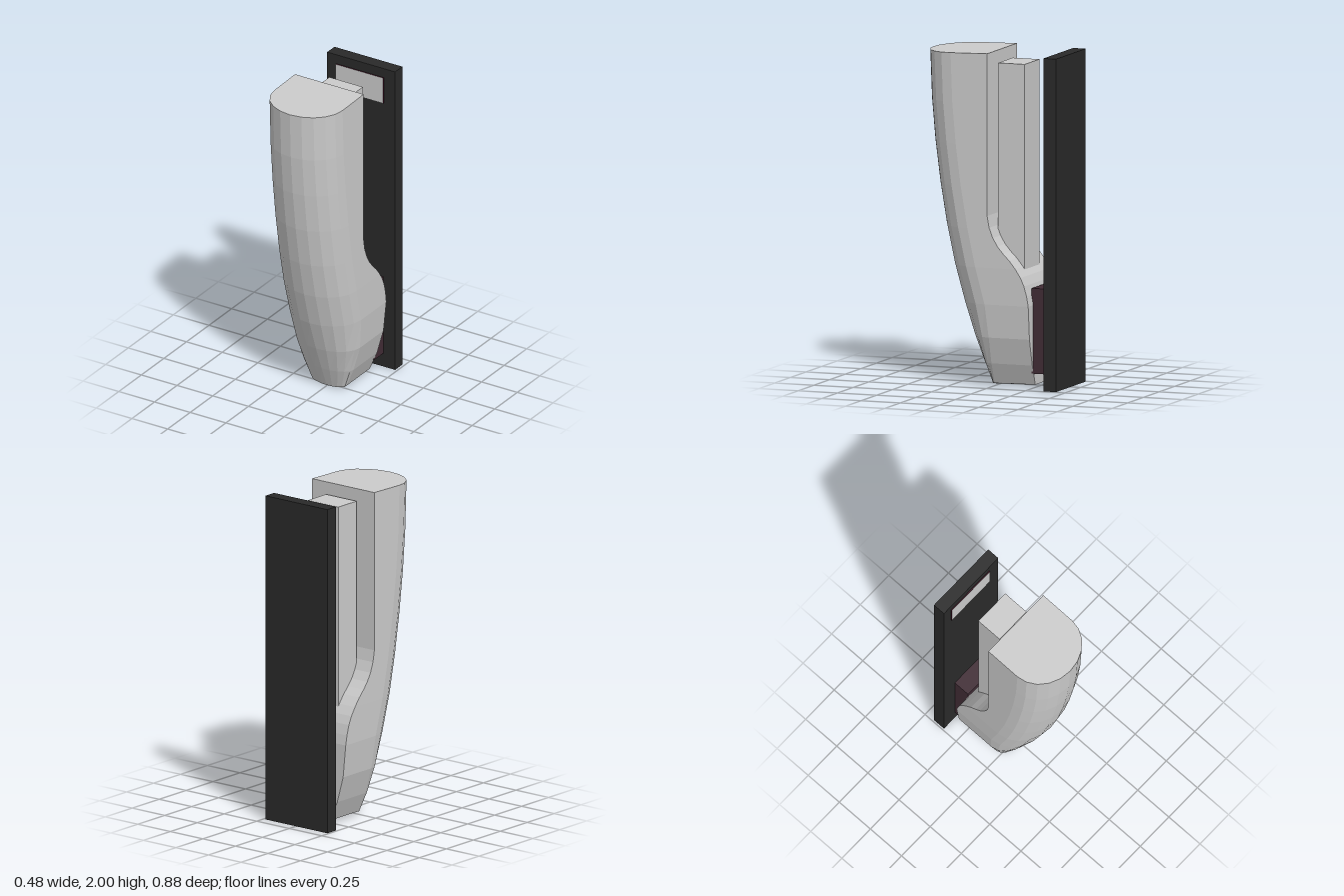
import * as THREE from 'three';

// Piecewise-linear profile lookup: pairs of [height, value]
function profile(pairs, y) {
  for (let i = 1; i < pairs.length; i++) {
    const [y0, v0] = pairs[i - 1], [y1, v1] = pairs[i];
    if (y <= y1) return v0 + (v1 - v0) * Math.max(0, (y - y0) / (y1 - y0));
  }
  return pairs[pairs.length - 1][1];
}

const HALF_WIDTH = [[0.02, 0.12], [0.14, 0.17], [0.3, 0.215], [0.5, 0.235], [0.72, 0.24]];
const FRONT = [[0.02, 0.03], [0.14, 0.085], [0.3, 0.148], [0.5, 0.219], [0.72, 0.281], [0.95, 0.331],
  [1.2, 0.373], [1.45, 0.405], [1.7, 0.427], [2, 0.438]];
const BACK = [[0.02, -0.26], [0.5, -0.26], [0.56, -0.25], [0.62, -0.234], [0.67, -0.212], [0.72, -0.18],
  [0.77, -0.14], [0.81, -0.1], [0.85, -0.066], [0.9, -0.036], [0.96, -0.013], [1.03, 0], [2, 0]];
const ARC = 10;

// Handle body: D-shaped cross-sections stacked along the height
function bodyGeometry() {
  const heights = [...new Set([...HALF_WIDTH, ...FRONT, ...BACK].map(p => p[0]))].sort((a, b) => a - b);
  const pos = [], idx = [], n = ARC + 3;
  for (const y of heights) {
    const w = profile(HALF_WIDTH, y), zf = profile(FRONT, y), zb = profile(BACK, y);
    const zs = Math.max(0, zf - 0.205 * w / 0.24);
    const ring = [[w, zb]];
    for (let i = 0; i <= ARC; i++) {
      const a = Math.PI * i / ARC;
      ring.push([w * Math.cos(a), zs + (zf - zs) * Math.sin(a)]);
    }
    ring.push([-w, zb]);
    // the two ends dip slightly towards the front
    const dip = y < 0.03 ? 0.015 : y > 1.99 ? 0.01 : 0;
    for (const [x, z] of ring) pos.push(x, y - dip * Math.max(0, z) / zf, z);
  }
  const rows = heights.length;
  for (let j = 0; j < rows - 1; j++) {
    for (let i = 0; i < n; i++) {
      const a = j * n + i, b = j * n + (i + 1) % n, c = a + n, d = b + n;
      idx.push(a, c, b, b, c, d);
    }
  }
  // end caps
  const top = (rows - 1) * n;
  for (let i = 1; i < n - 1; i++) {
    idx.push(0, i, i + 1);
    idx.push(top, top + i + 1, top + i);
  }
  const g = new THREE.BufferGeometry();
  g.setAttribute('position', new THREE.Float32BufferAttribute(pos, 3));
  g.setIndex(idx);
  const flat = g.toNonIndexed();
  flat.computeVertexNormals();
  return flat;
}

const material = color => new THREE.MeshStandardMaterial({ color, flatShading: true });

// Box given by its limits along each axis
function box(name, [x0, x1], [y0, y1], [z0, z1], mat) {
  const m = new THREE.Mesh(new THREE.BoxGeometry(x1 - x0, y1 - y0, z1 - z0), mat);
  m.position.set((x0 + x1) / 2, (y0 + y1) / 2, (z0 + z1) / 2);
  m.name = name;
  return m;
}

export function createModel() {
  const group = new THREE.Group();
  group.name = 'handleWithBackPlate';
  const grey = material(0xcccccc), black = material(0x2a2a2a);
  const brown = material(0x412c35), maroon = material(0x3d0f22);

  const body = new THREE.Mesh(bodyGeometry(), grey);
  body.name = 'body';
  group.add(body);

  // upright block seated in the shoulder of the body
  group.add(box('innerBlock', [-0.12, 0.115], [0.65, 1.93], [-0.19, -0.02], grey));
  group.add(box('backPlate', [-0.24, 0.235], [0, 1.99], [-0.437, -0.357], black));
  group.add(box('connector', [-0.145, 0.155], [0.09, 0.6], [-0.357, -0.25], brown));

  // thin pad on the plate: dark rim, grey face (+z)
  const padSides = [maroon, maroon, maroon, maroon, grey, maroon];
  group.add(box('contactPad', [-0.178, 0.156], [1.76, 1.93], [-0.357, -0.35], padSides));
  return group;
}
